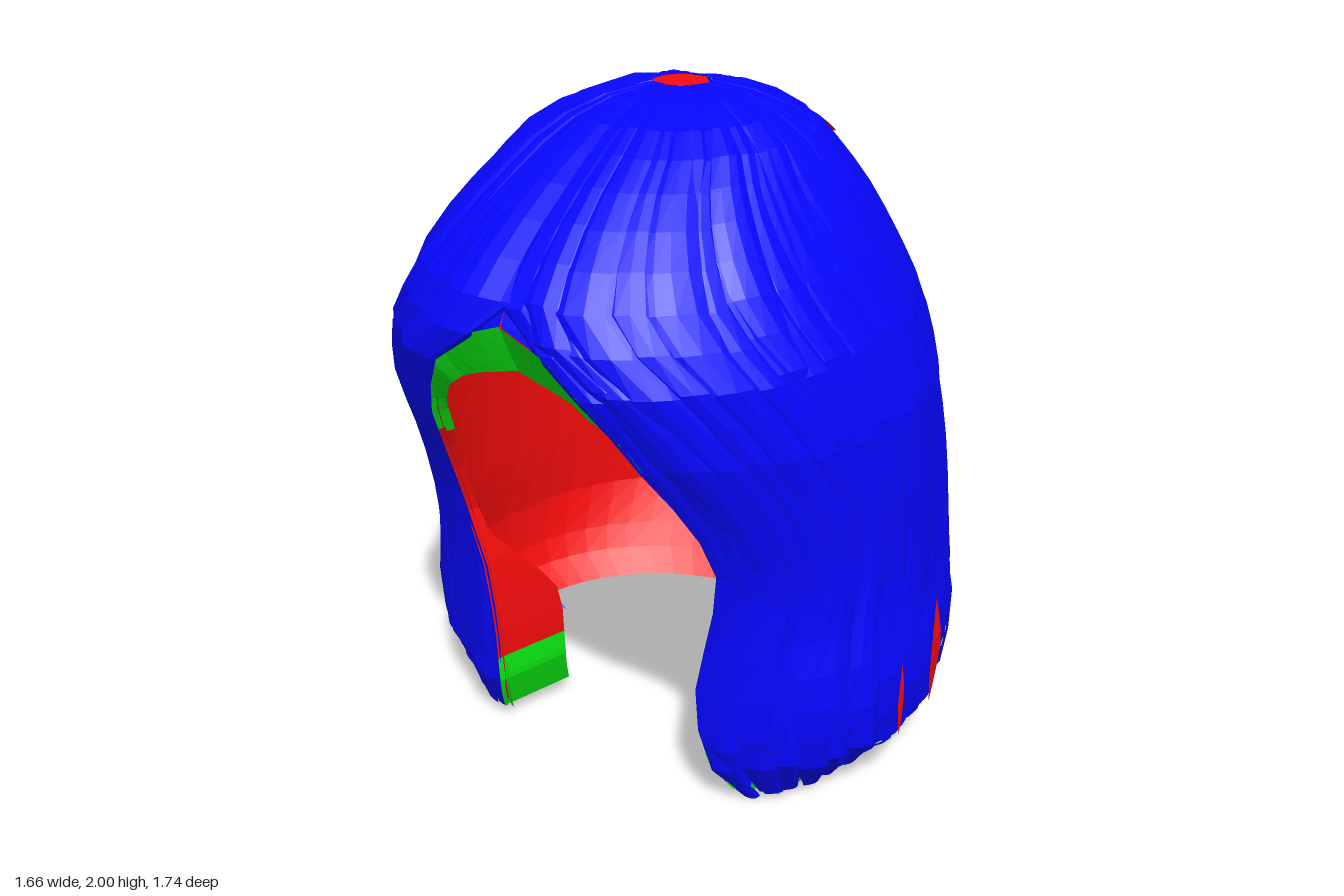
import * as THREE from 'three';

const mat = (color) => new THREE.MeshStandardMaterial({ color, flatShading: true, side: THREE.DoubleSide });
const BLUE = mat(0x0606ff), RED = mat(0xf80c0c), GREEN = mat(0x0cf014);

// Cross-sections: height, half width, front depth, back depth
const ROWS = [
  [2.0, 0.08, 0.08, 0.08], [1.97, 0.26, 0.28, 0.23], [1.9, 0.38, 0.42, 0.36], [1.8, 0.46, 0.59, 0.46],
  [1.7, 0.53, 0.72, 0.53], [1.6, 0.59, 0.82, 0.58], [1.5, 0.64, 0.87, 0.63], [1.4, 0.69, 0.89, 0.66],
  [1.2, 0.75, 0.82, 0.71], [1.0, 0.77, 0.71, 0.77], [0.8, 0.78, 0.62, 0.83], [0.6, 0.79, 0.58, 0.87],
  [0.4, 0.82, 0.56, 0.85], [0.2, 0.81, 0.55, 0.7], [0.05, 0.67, 0.52, 0.58], [0, 0.63, 0.5, 0.56],
];
// Face opening: height, half width on the right, half width on the left
const OPENING = [
  [1.54, 0, 0], [1.5, 0.12, 0.12], [1.46, 0.19, 0.19], [1.38, 0.26, 0.26], [1.25, 0.33, 0.34], [1.0, 0.41, 0.45],
  [0.8, 0.43, 0.48], [0.6, 0.38, 0.43], [0.4, 0.36, 0.39], [0.2, 0.36, 0.41], [0.05, 0.4, 0.46], [0, 0.42, 0.47],
];

function lookup(table, y) {
  if (y >= table[0][0]) return table[0];
  for (let i = 1; i < table.length; i++) {
    const a = table[i - 1], b = table[i];
    if (y >= b[0]) return a.map((v, j) => v + (b[j] - v) * (a[0] - y) / (a[0] - b[0]));
  }
  return table[table.length - 1];
}

const { lerp, smoothstep } = THREE.MathUtils;
const FRONT_N = 2.35, BACK_N = 2.1;
const edgeAngle = (side, y) =>
  Math.asin(Math.pow(lookup(OPENING, y)[side > 0 ? 2 : 1] / lookup(ROWS, y)[1], FRONT_N / 2));

// Point on one half of the hair: s = 0 at the face edge, 1 at the back centre line
function surf(side, s, y, k = 1) {
  const [, w, front, back] = lookup(ROWS, y);
  const edge = edgeAngle(side, y);
  // Away from the hairline the hair is swept aside gradually from the crown
  const swept = y > 1 ? edgeAngle(side, 1) * (1 - smoothstep(y, 1, 1.95)) : edge;
  const e = lerp(edge, swept, smoothstep(s, 0, 0.35));
  const th = e + (Math.PI - e) * s, c = Math.cos(th), n = c > 0 ? FRONT_N : BACK_N;
  const pow = (v) => Math.sign(v) * Math.pow(Math.abs(v), 2 / n);
  return [
    side * k * w * pow(Math.sin(th)),
    THREE.MathUtils.clamp(y + (k - 1) * 0.3, 0, 2),
    k * (c > 0 ? front : back) * pow(c),
  ];
}

function grid(nu, nv, fn) {
  const pos = [], idx = [];
  for (let j = 0; j <= nv; j++) for (let i = 0; i <= nu; i++) pos.push(...fn(i / nu, j / nv));
  for (let j = 0; j < nv; j++) for (let i = 0; i < nu; i++) {
    const a = j * (nu + 1) + i, b = a + nu + 1;
    idx.push(a, b, a + 1, a + 1, b, b + 1);
  }
  const g = new THREE.BufferGeometry();
  g.setAttribute('position', new THREE.Float32BufferAttribute(pos, 3));
  g.setIndex(idx);
  g.computeVertexNormals();
  return g;
}

let seed = 11;
const rnd = () => (seed = (seed * 16807) % 2147483647) / 2147483647;
// Locks reach lower at the sides than the hem at the back
const hemY = (s) => lerp(0.08, 0.19, smoothstep(s, 0.48, 0.6));
const drop = (t, end) => 2 - (2 - end) * Math.pow(t, 1.5);

// One tapering lock of hair from the crown down
function strand(side, s0, width, k, end) {
  const phase = rnd() * 6, wave = 0.006 + 0.014 * rnd();
  return grid(4, 20, (u, t) => {
    const taper = t > 0.88 ? 1 - 0.5 * (t - 0.88) / 0.12 : 1;
    const s = s0 + (u - 0.5) * width * taper + wave * Math.sin(t * 6 + phase) * t;
    const bulge = k - 0.022 * Math.pow(2 * u - 1, 2) + 0.008 * Math.sin(t * 9 + phase);
    return surf(side, Math.max(-0.008, s), drop(t, end), bulge);
  });
}

export function createModel() {
  const group = new THREE.Group();
  const add = (name, geo, material, parent = group) => {
    const m = new THREE.Mesh(geo, material);
    m.name = name;
    parent.add(m);
  };

  for (const side of [1, -1]) {
    const label = side > 0 ? 'left' : 'right';

    // Under-layer of hair and inner lining
    add(label + 'HairBase', grid(24, 36, (u, t) => surf(side, u, drop(t, hemY(u) + 0.02), 0.972)), BLUE);
    add(label + 'Lining', grid(24, 36, (u, t) => surf(side, u, drop(t, 0.1), 0.94)), RED);

    // Green bands at the hem, outside all round and inside the front locks
    add(label + 'HemBand', grid(24, 2, (u, t) => surf(side, u, lerp(0.24, 0.1 - 0.04 * (u < 0.5), t), 0.955)), GREEN);
    add(label + 'LockLining', grid(8, 3, (u, t) => surf(side, u * 0.35, lerp(0.27, 0.06, t), 0.925)), GREEN);

    // Rim under the fringe
    add(label + 'FringeRim', grid(2, 20, (u, t) => {
      const y = lerp(1.54, 1.1, t), [x, py, z] = surf(side, 0, y, 0.98);
      const low = 0.14 * Math.max(0, 1 - t * 1.25);
      return [x * (1 - 0.06 * u), py - low * u, z * (1 - 0.08 * u)];
    }), GREEN);

    // Edge of the lock turned inward, red above and green below
    const turn = (top, bottom) => grid(2, 10, (u, t) => {
      const y = lerp(top, bottom, t), [x, py, z] = surf(side, 0, y, 0.97);
      const d = 0.04 + 0.2 * smoothstep(0.75 - y, 0, 0.35);
      return [x - side * u * d * 0.3, py, z - u * d];
    });
    add(label + 'LockTurn', turn(1.12, 0.28), RED);
    add(label + 'LockTurnHem', turn(0.28, 0.06), GREEN);

    // Overlapping locks in two layers
    const locks = new THREE.Group();
    locks.name = label + 'Locks';
    group.add(locks);
    const count = 20;
    for (let layer = 0; layer < 2; layer++) {
      for (let i = 0; i < count; i++) {
        const s = (i + 0.35 + 0.5 * layer) / count;
        const end = Math.max(0, hemY(s) - 0.03 + (rnd() - 0.5) * 0.1);
        add('lock', strand(side, s, 0.06 + 0.04 * rnd(), 0.985 + 0.01 * layer + 0.02 * rnd(), end), BLUE, locks);
      }
    }
    // Loose pointed ends at the tips
    for (let i = 0; i < 9; i++) {
      const s = (i + rnd()) / 9, top = 0.6 + 0.3 * rnd(), end = Math.max(0, hemY(s) - 0.09 * rnd());
      add('looseEnd', grid(2, 6, (u, t) => surf(side, Math.max(-0.01, s + (u - 0.5) * 0.08 * (1 - t * t) + 0.02 * t),
        lerp(top, end, t), 0.99 + 0.025 * Math.sin(Math.PI * t))), BLUE, locks);
    }
  }

  // Gaps between locks showing the lining: side, s, top, bottom, width
  const gaps = [
    [1, 0.46, 0.54, 0.2, 0.035], [1, 0.36, 0.45, 0.2, 0.015], [1, 0.8, 1.36, 1.2, 0.012],
    [-1, 0.42, 0.5, 0.22, 0.03], [-1, 0.3, 1.33, 1.2, 0.02], [1, 0.8, 1.86, 1.81, 0.09],
  ];
  for (const [side, s, top, bottom, w] of gaps) {
    add('liningGap', grid(4, 6, (u, t) =>
      surf(side, s + (u - 0.5) * w * Math.sin(Math.PI * t), lerp(top, bottom, t), 1.016)), RED);
  }

  // Bare crown patch
  const crown = new THREE.CylinderGeometry(0.085, 0.1, 0.02, 7);
  crown.translate(-0.01, 1.986, 0);
  add('crownPatch', crown, RED);
  return group;
}
